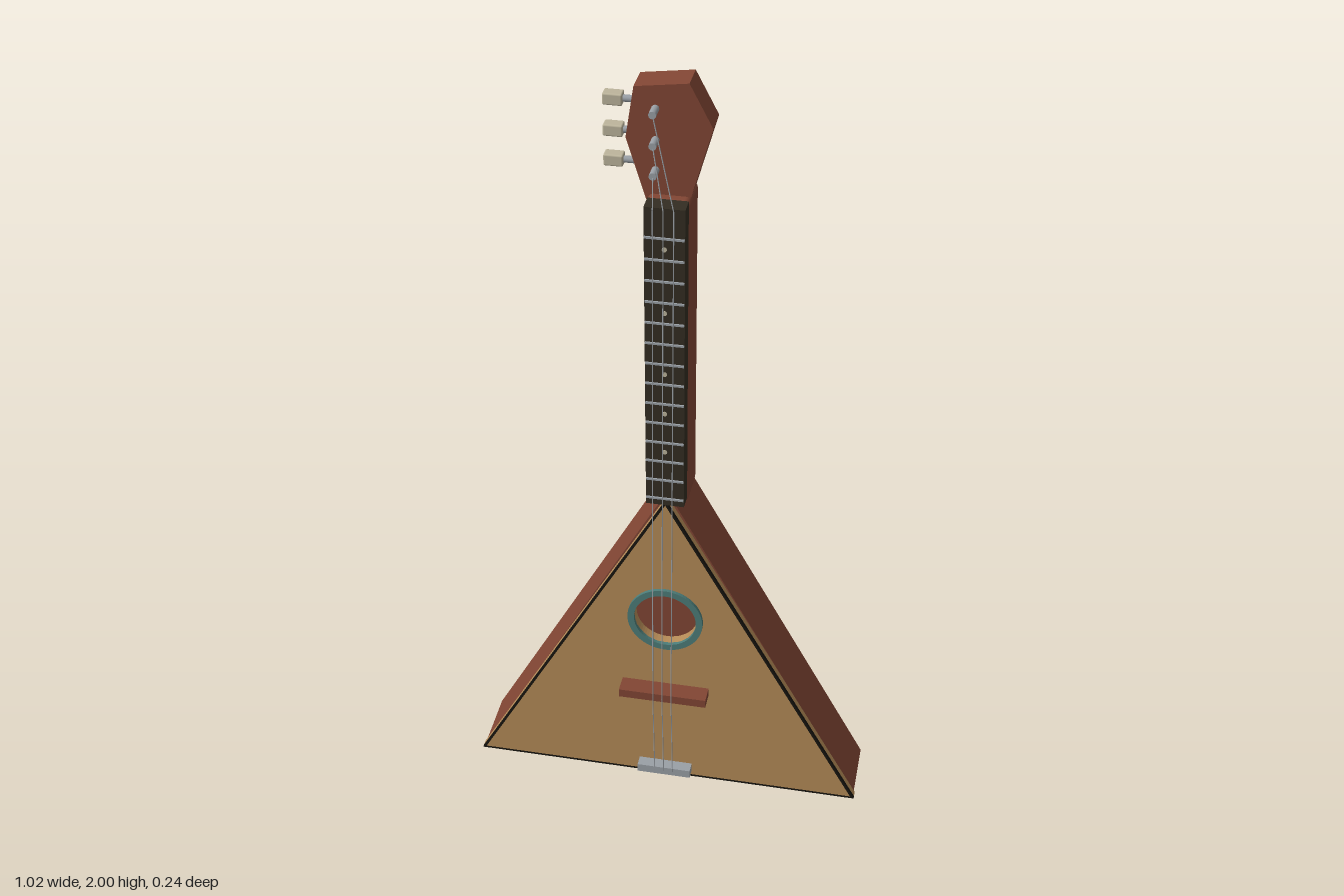
import * as THREE from 'three';
import { RoundedBoxGeometry } from 'three/addons/geometries/RoundedBoxGeometry.js';

const mat = (name, color) => new THREE.MeshStandardMaterial({ name, color });

export function createModel() {
  const model = new THREE.Group();
  model.name = 'balalaika';
  const wood = mat('redBrownWood', 0x824634);
  const spruce = mat('paleSpruce', 0xb58b57);
  const ebony = mat('ebony', 0x332d22);
  const black = mat('blackBinding', 0x17140f);
  const teal = mat('tealRosette', 0x4c7c78);
  const steel = mat('steel', 0x9aa0a6);
  const ivory = mat('ivory', 0xbdb59c);

  function add(name, geometry, material, x = 0, y = 0, z = 0) {
    const mesh = new THREE.Mesh(geometry, material);
    mesh.name = name;
    mesh.position.set(x, y, z);
    model.add(mesh);
    return mesh;
  }
  // Box given by its limits on each axis
  function box(name, material, [x0, x1], [y0, y1], [z0, z1], radius = 0) {
    const size = [x1 - x0, y1 - y0, z1 - z0];
    const geometry = radius ? new RoundedBoxGeometry(...size, 3, radius) : new THREE.BoxGeometry(...size);
    return add(name, geometry, material, (x0 + x1) / 2, (y0 + y1) / 2, (z0 + z1) / 2);
  }
  function polygon(points, ShapeType = THREE.Shape) {
    return new ShapeType(points.map(([x, y]) => new THREE.Vector2(x, y)));
  }
  const triangle = (half, bottom, apex) => [[-half, bottom], [half, bottom], [0, apex]];
  function slab(name, shape, material, z0, z1) {
    const geometry = new THREE.ExtrudeGeometry(shape, { depth: z1 - z0, bevelEnabled: false, curveSegments: 32 });
    return add(name, geometry, material, 0, 0, z0);
  }
  // Thin rod between two points
  function rod(name, material, a, b, radius, sides) {
    const from = new THREE.Vector3(...a), to = new THREE.Vector3(...b);
    const span = to.clone().sub(from);
    const mesh = add(name, new THREE.CylinderGeometry(radius, radius, span.length(), sides), material);
    mesh.position.copy(from).add(to).multiplyScalar(0.5);
    mesh.quaternion.setFromUnitVectors(new THREE.Vector3(0, 1, 0), span.normalize());
    return mesh;
  }
  const holeY = 0.545;
  const circle = (radius) => new THREE.Path().absarc(0, holeY, radius, 0, Math.PI * 2, true);

  // Triangular body
  slab('body', polygon(triangle(0.507, 0, 0.93)), wood, -0.117, 0.045);

  // Soundboard with an open sound hole
  const lower = polygon(triangle(0.51, 0, 0.918));
  lower.holes.push(circle(0.08));
  slab('soundboardEdge', lower, spruce, 0.045, 0.061);
  const inner = triangle(0.5, 0.006, 0.906);
  const face = polygon(inner);
  face.holes.push(circle(0.08));
  slab('soundboardFace', face, spruce, 0.061, 0.07);

  // Dark binding around the soundboard
  const binding = polygon(triangle(0.51, 0, 0.918));
  binding.holes.push(polygon(inner, THREE.Path));
  slab('binding', binding, black, 0.061, 0.07);

  // Rosette ring
  const ring = new THREE.Shape().absarc(0, holeY, 0.097, 0, Math.PI * 2, false);
  ring.holes.push(circle(0.08));
  slab('rosette', ring, teal, 0.069, 0.079);

  // Bridge and tailpiece
  box('bridge', wood, [-0.114, 0.114], [0.301, 0.325], [0.069, 0.118]);
  box('tailpiece', steel, [-0.071, 0.071], [0.022, 0.046], [0.069, 0.1]);

  // Neck and fingerboard
  box('neck', wood, [-0.05, 0.05], [0.895, 1.727], [-0.075, 0.037], 0.014);
  box('fingerboard', ebony, [-0.047, 0.047], [0.91, 1.727], [0.03, 0.073]);
  const fretGap = 0.0555;
  for (let i = 0; i < 14; i++) {
    const y = 1.652 - i * fretGap;
    box('fret', steel, [-0.046, 0.046], [y - 0.0025, y + 0.0025], [0.072, 0.077]);
  }
  for (const step of [0, 3, 6, 8, 10]) {
    const dot = add('fretMarker', new THREE.CylinderGeometry(0.006, 0.006, 0.003, 12), ivory, 0, 1.624 - step * fretGap, 0.0735);
    dot.rotation.x = Math.PI / 2;
  }

  // Headstock
  slab('headstock', polygon([
    [-0.054, 1.712], [0.048, 1.727], [0.096, 1.898], [0.043, 2], [-0.08, 1.983], [-0.099, 1.86],
  ]), wood, -0.062, 0.01);

  // Tuners: post, shaft and key
  const pegHeights = [1.787, 1.86, 1.935];
  for (const y of pegHeights) {
    rod('tunerPost', steel, [-0.032, y, 0.005], [-0.032, y, 0.045], 0.009, 12);
    rod('tunerShaft', steel, [-0.115, y, -0.027], [-0.06, y, -0.027], 0.008, 12);
    box('tunerKey', ivory, [-0.156, -0.111], [y - 0.014, y + 0.014], [-0.042, -0.012], 0.004);
  }

  // Strings from tailpiece over bridge and nut to the posts
  pegHeights.forEach((y, i) => {
    const x = (i - 1) * 0.024;
    const path = [[x, 0.035, 0.1], [x, 0.313, 0.119], [x, 1.727, 0.087], [-0.032, y, 0.042]];
    for (let k = 0; k < 3; k++) rod('string', steel, path[k], path[k + 1], 0.0014, 6);
  });

  return model;
}
